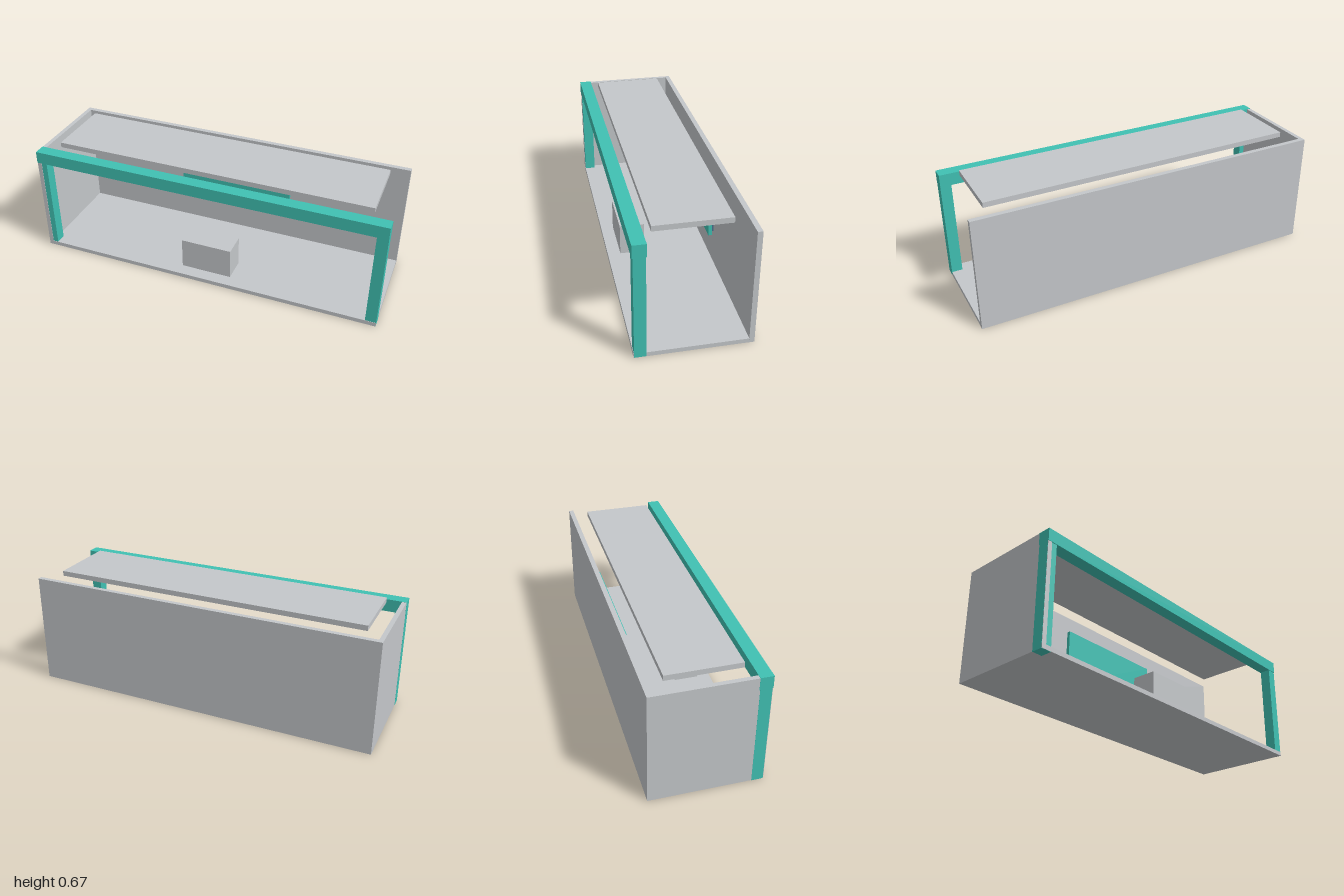
import * as THREE from 'three';

export function createModel() {
  const group = new THREE.Group();
  const mat = (name, color) => {
    const m = new THREE.MeshStandardMaterial({ color });
    m.name = name;
    return m;
  };
  const grey = mat('light grey', 0xc4c7ca);
  const teal = mat('teal', 0x40c1b3);
  const blue = mat('slate blue', 0x4a6d8c);

  // Box given by its extents on each axis
  const box = (name, material, [x0, x1], [y0, y1], [z0, z1]) => {
    const mesh = new THREE.Mesh(new THREE.BoxGeometry(x1 - x0, y1 - y0, z1 - z0), material);
    mesh.position.set((x0 + x1) / 2, (y0 + y1) / 2, (z0 + z1) / 2);
    mesh.name = name;
    group.add(mesh);
  };

  // Open shell: floor, back and one side wall
  box('floor', grey, [-0.975, 0.9995], [0.001, 0.025], [-0.3, 0.3]);
  box('backWall', grey, [-0.975, 1], [0.001, 0.64], [-0.3, -0.273]);
  box('sideWall', grey, [-0.9995, -0.975], [0.001, 0.64], [-0.3, 0.3]);

  // Front frame: two posts under a beam
  box('rightPost', teal, [-1, -0.943], [0, 0.572], [0.237, 0.298]);
  box('leftPost', teal, [0.94, 1], [0.002, 0.572], [0.237, 0.298]);
  box('topBeam', teal, [-1, 1], [0.572, 0.641], [0.233, 0.302]);

  // Raised roof panel
  box('roofPanel', grey, [-0.9, 0.9], [0.638, 0.667], [-0.197, 0.195]);

  // Counter on the floor
  box('counter', grey, [-0.147, 0.147], [0.025, 0.205], [0.09, 0.228]);

  // Display board with its backing plate
  box('displayBoard', teal, [-0.34, 0.34], [0.211, 0.532], [-0.255, -0.235]);
  box('displayBacking', blue, [-0.328, 0.328], [0.228, 0.514], [-0.266, -0.255]);

  return group;
}
